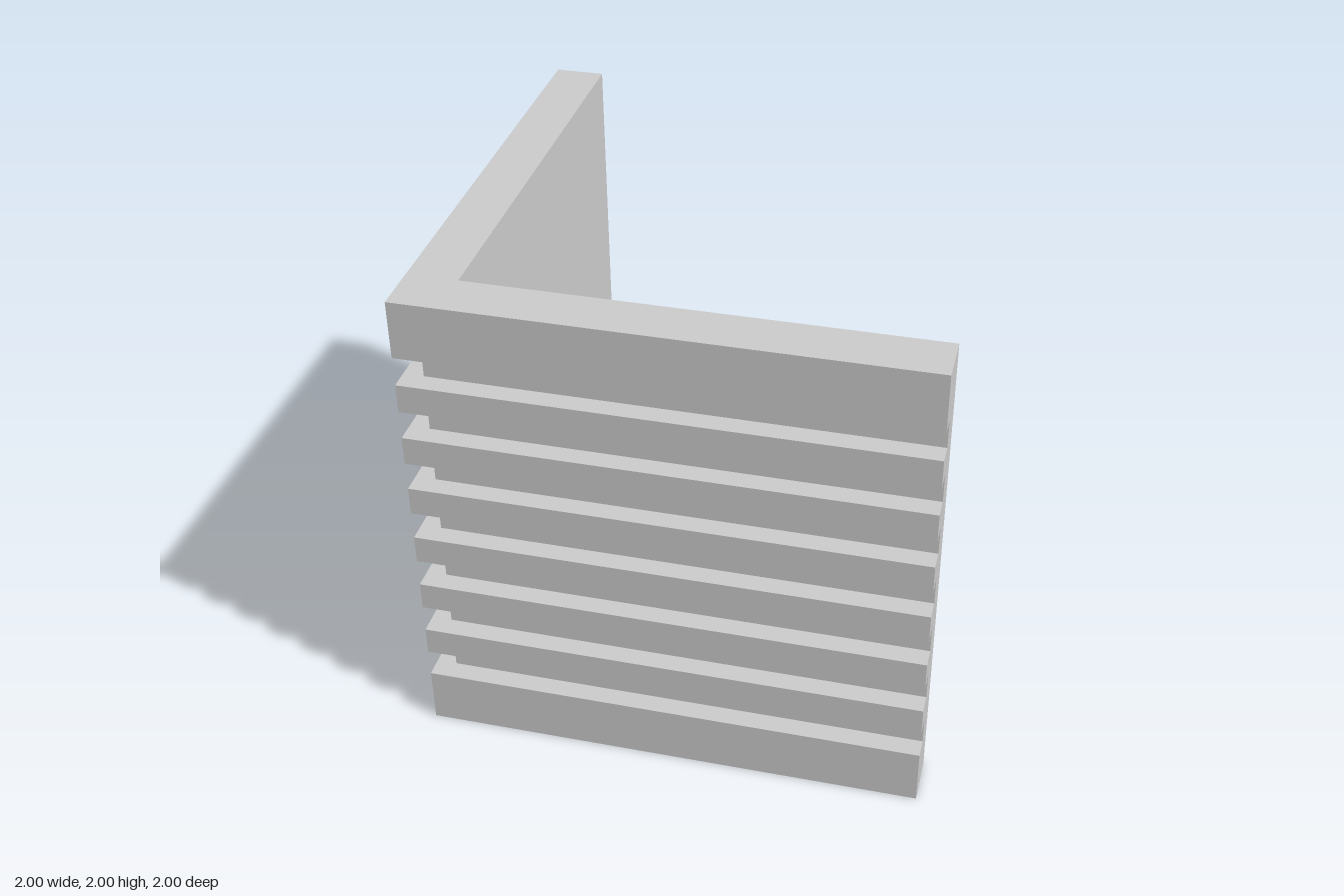
import * as THREE from 'three';

const THICKNESS = 0.2;
const GROOVE_DEPTH = 0.08;
const GROOVES = 7;
const STEP = 2 / 17; // height of each groove and of each slat between them

// Wall section: x is the distance in from the outer face, y is height
function wallProfile() {
  const shape = new THREE.Shape();
  shape.moveTo(0, 0);
  shape.lineTo(THICKNESS, 0);
  shape.lineTo(THICKNESS, 2);
  shape.lineTo(0, 2);
  for (let i = GROOVES; i >= 1; i--) {
    const bottom = 2 * i * STEP;
    shape.lineTo(0, bottom + STEP);
    shape.lineTo(GROOVE_DEPTH, bottom + STEP);
    shape.lineTo(GROOVE_DEPTH, bottom);
    shape.lineTo(0, bottom);
  }
  return shape;
}

export function createModel() {
  const group = new THREE.Group();
  group.name = 'groovedCorner';

  // Extrude in two steps, then bend the run around a mitred corner
  const geometry = new THREE.ExtrudeGeometry(wallProfile(), { depth: 2, steps: 2, bevelEnabled: false });
  const pos = geometry.attributes.position;
  for (let i = 0; i < pos.count; i++) {
    const inset = pos.getX(i);
    const station = Math.round(pos.getZ(i)); // 0 back end, 1 corner, 2 front end
    const x = station === 2 ? 1 : -1 + inset;
    const z = station === 0 ? -1 : 1 - inset;
    pos.setXYZ(i, x, pos.getY(i), z);
  }
  geometry.computeVertexNormals();

  const walls = new THREE.Mesh(
    geometry,
    new THREE.MeshStandardMaterial({ color: 0xcccccc, flatShading: true })
  );
  walls.name = 'groovedCornerWalls';
  group.add(walls);
  return group;
}
